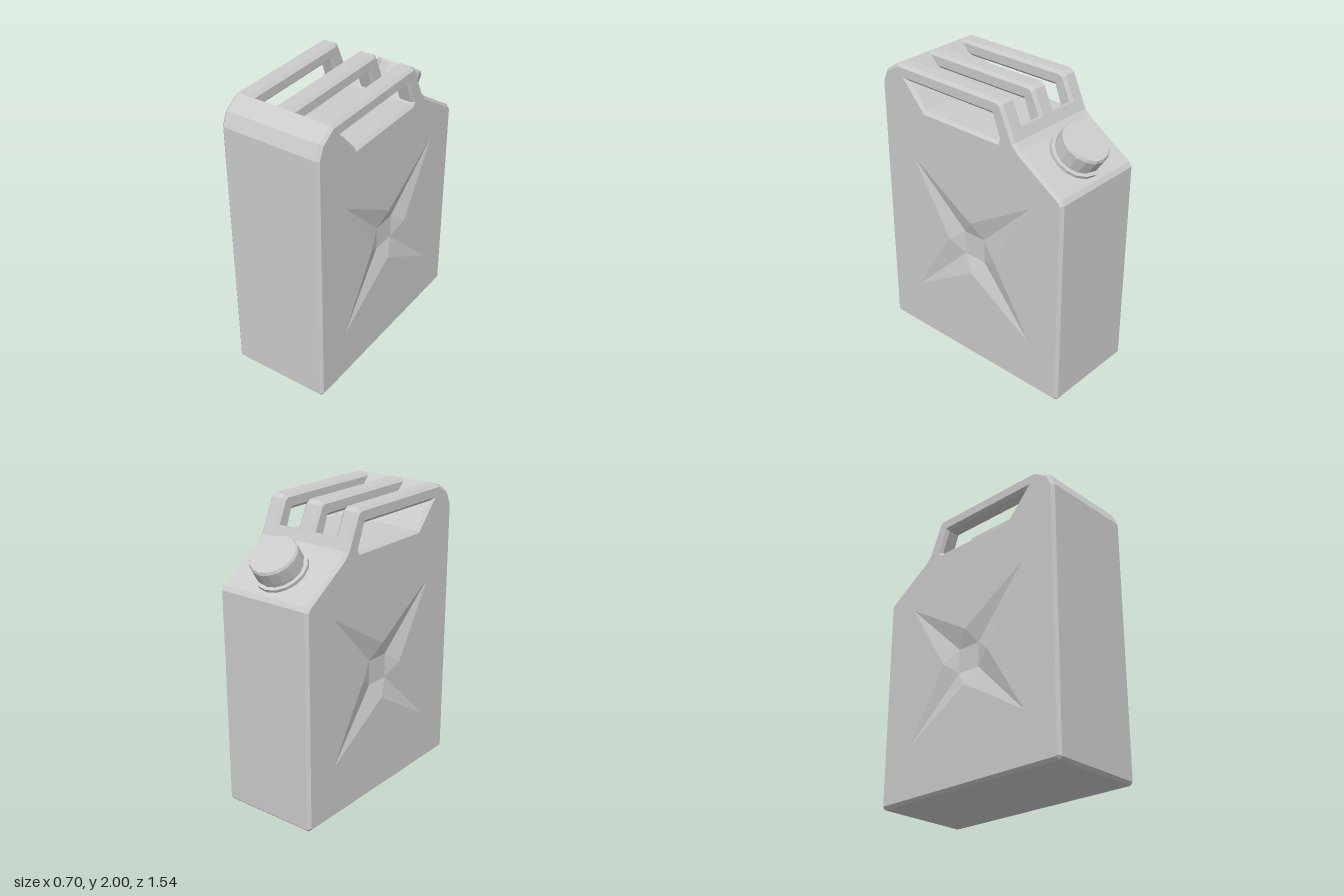
import * as THREE from 'three';

const BEVEL = 0.02;
const material = new THREE.MeshStandardMaterial({ color: 0xcccccc, flatShading: true });
const toPoints = (list) => list.map(([z, y]) => new THREE.Vector2(z, y));

// Shrink a counter-clockwise outline by a fixed distance, with mitred corners.
function inset(points, distance) {
  const n = points.length;
  const normal = (a, b) => new THREE.Vector2(a.y - b.y, b.x - a.x).normalize();
  return points.map((p, i) => {
    const n1 = normal(points[(i + n - 1) % n], p);
    const n2 = normal(p, points[(i + 1) % n]);
    const k = distance / (1 + n1.dot(n2));
    return n1.add(n2).multiplyScalar(k).add(p);
  });
}

function meshFrom(positions, name) {
  const geometry = new THREE.BufferGeometry();
  geometry.setAttribute('position', new THREE.Float32BufferAttribute(positions, 3));
  geometry.computeVertexNormals();
  const mesh = new THREE.Mesh(geometry, material);
  mesh.name = name;
  return mesh;
}

// Side outline (z, y) stretched across x, bevelled at both ends, with optional openings in the ends.
function slab(name, outline, x0, x1, holes = []) {
  const full = toPoints(outline);
  const small = inset(full, BEVEL);
  const rings = [[x0, small], [x0 + BEVEL, full], [x1 - BEVEL, full], [x1, small]];
  const pos = [];
  const put = (x, p) => pos.push(x, p.y, p.x);
  for (let r = 0; r < 3; r++) {
    const [xa, a] = rings[r];
    const [xb, b] = rings[r + 1];
    for (let i = 0; i < full.length; i++) {
      const j = (i + 1) % full.length;
      put(xa, a[i]); put(xb, b[i]); put(xb, b[j]);
      put(xa, a[i]); put(xb, b[j]); put(xa, a[j]);
    }
  }
  const all = [small, ...holes].flat();
  for (const [a, b, c] of THREE.ShapeUtils.triangulateShape(small, holes)) {
    put(x0, all[a]); put(x0, all[b]); put(x0, all[c]);
    put(x1, all[a]); put(x1, all[c]); put(x1, all[b]);
  }
  return meshFrom(pos, name);
}

// Four-pointed star pressed into a side wall.
const STAR_Y = 0.87;
const ring = (radius, start) => Array.from({ length: 4 }, (_, i) => {
  const a = start + i * Math.PI / 2;
  return new THREE.Vector2(Math.cos(a) * radius, STAR_Y + Math.sin(a) * radius);
});
const tips = ring(0.715, Math.PI / 4);
const valleys = ring(0.195, Math.PI / 2);
const floor = ring(0.12, Math.PI / 4);
const starOutline = tips.flatMap((t, i) => [t, valleys[i]]);

function starRecess(side) {
  const pos = [];
  const rim = 0.35 * side;
  const deep = 0.31 * side;
  const tri = (...corners) => {
    if (side > 0) corners.reverse();
    corners.forEach(([x, p]) => pos.push(x, p.y, p.x));
  };
  for (let i = 0; i < 4; i++) {
    const j = (i + 1) % 4;
    tri([rim, tips[i]], [rim, valleys[i]], [deep, floor[i]]);
    tri([rim, valleys[i]], [deep, floor[j]], [deep, floor[i]]);
    tri([rim, valleys[i]], [rim, tips[j]], [deep, floor[j]]);
  }
  tri([deep, floor[0]], [deep, floor[1]], [deep, floor[2]]);
  tri([deep, floor[0]], [deep, floor[2]], [deep, floor[3]]);
  return meshFrom(pos, side > 0 ? 'leftStarRecess' : 'rightStarRecess');
}

export function createModel() {
  const model = new THREE.Group();
  model.name = 'jerryCan';

  // Tank body, with the hand space notched out of its top
  const body = [
    [0.75, 0], [0.77, 0.02], [0.77, 1.84], [0.73, 1.93], [0.70, 1.95], [0.62, 2],
    [0.38, 1.735], [-0.24, 1.735], [-0.31, 1.82], [-0.34, 1.826],
    [-0.37, 1.76], [-0.41, 1.72], [-0.73, 1.51], [-0.75, 1.48], [-0.75, 0.02], [-0.73, 0],
  ];
  model.add(slab('body', body, -0.35, 0.35, [starOutline.slice().reverse()]));
  model.add(starRecess(1), starRecess(-1));

  // Three handle bars, their ends sunk into the body
  const bar = [
    [0.65, 1.70], [0.77, 1.75], [0.77, 1.84], [0.73, 1.93], [0.70, 1.95], [0.62, 2],
    [-0.24, 2], [-0.27, 1.98], [-0.37, 1.76], [-0.41, 1.72], [-0.45, 1.694], [-0.41, 1.6],
    [-0.305, 1.6], [-0.19, 1.9], [0.58, 1.9],
  ];
  model.add(
    slab('rightHandle', bar, -0.35, -0.23),
    slab('middleHandle', bar, -0.065, 0.065),
    slab('leftHandle', bar, 0.23, 0.35),
  );

  // Spout flange and screw cap, square to the sloping shoulder
  const spout = new THREE.Group();
  spout.name = 'spout';
  const turned = (name, profile) => {
    const points = profile.map(([r, h]) => new THREE.Vector2(r, h));
    const mesh = new THREE.Mesh(new THREE.LatheGeometry(points, 16), material);
    mesh.name = name;
    spout.add(mesh);
  };
  turned('flange', [[0, -0.02], [0.175, -0.02], [0.175, 0.022], [0, 0.022]]);
  turned('cap', [[0.15, 0], [0.15, 0.035], [0.16, 0.045], [0.16, 0.135], [0.15, 0.152], [0, 0.152]]);
  spout.position.set(0, 1.622, -0.56);
  spout.rotation.x = -0.59;
  model.add(spout);

  return model;
}
